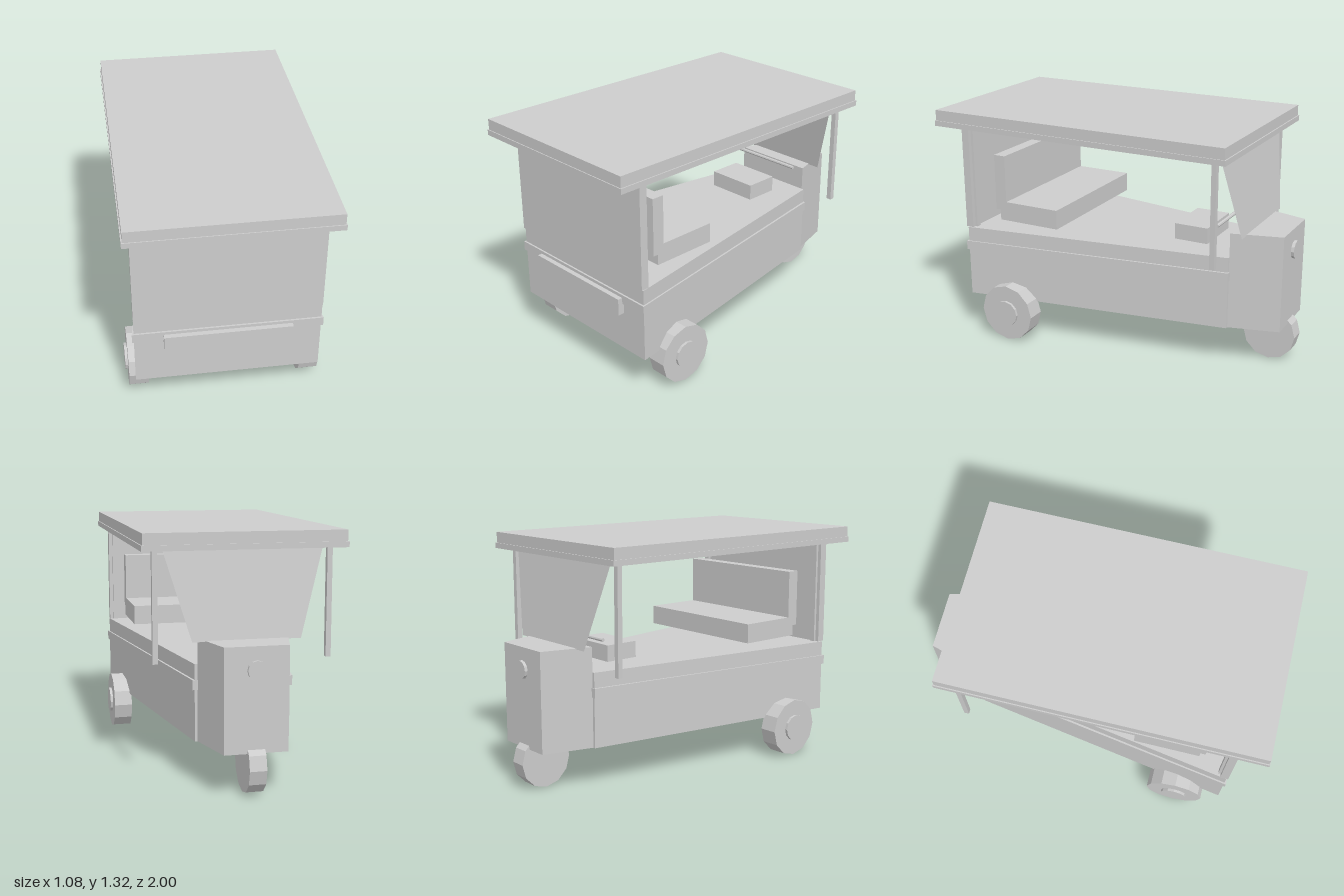
import * as THREE from 'three';

export function createModel() {
  const model = new THREE.Group();
  const grey = new THREE.MeshStandardMaterial({ color: 0xcccccc, flatShading: true });
  grey.name = 'plainGrey';
  const sheet = grey.clone();
  sheet.side = THREE.DoubleSide;

  const add = (name, geometry, material = grey) => {
    const mesh = new THREE.Mesh(geometry, material);
    mesh.name = name;
    model.add(mesh);
    return mesh;
  };

  // Box given by its limits on each axis
  const box = (name, x0, x1, y0, y1, z0, z1) =>
    add(name, new THREE.BoxGeometry(x1 - x0, y1 - y0, z1 - z0))
      .position.set((x0 + x1) / 2, (y0 + y1) / 2, (z0 + z1) / 2);

  // Upright prism with a trapezoid plan: half widths wA at zA and wB at zB
  const taper = (name, wA, zA, wB, zB, y0, y1) => {
    const plan = new THREE.Shape([
      new THREE.Vector2(-wA, -zA), new THREE.Vector2(wA, -zA),
      new THREE.Vector2(wB, -zB), new THREE.Vector2(-wB, -zB),
    ]);
    const g = new THREE.ExtrudeGeometry(plan, { depth: y1 - y0, bevelEnabled: false });
    g.rotateX(-Math.PI / 2);
    g.translate(0, y0, 0);
    add(name, g);
  };

  // Twelve-sided disc on the x axis
  const disc = (name, r, x0, x1, y, z) => {
    const g = new THREE.CylinderGeometry(r, r, x1 - x0, 12);
    g.rotateZ(Math.PI / 2);
    add(name, g).position.set((x0 + x1) / 2, y, z);
  };

  // Tapered body, trim band and nose
  taper('body', 0.495, 0.84, 0.255, -0.68, 0.23, 0.64);
  taper('trimBand', 0.505, 0.85, 0.267, -0.685, 0.505, 0.557);
  taper('nose', 0.24, -0.68, 0.167, -0.955, 0.23, 0.775);
  box('bumper', -0.34, 0.34, 0.447, 0.54, 0.83, 0.877);

  // Headlamp
  const lamp = new THREE.CylinderGeometry(0.05, 0.05, 0.03, 12);
  lamp.rotateX(Math.PI / 2);
  add('headlamp', lamp).position.set(0, 0.655, -0.957);

  // Roof with a lip around its lower edge
  box('roofLip', -0.538, 0.538, 1.23, 1.26, -0.765, 1);
  box('roof', -0.532, 0.532, 1.26, 1.32, -0.758, 0.995);

  // Closed panel and roof posts
  box('endPanel', -0.495, 0.495, 0.645, 1.23, 0.805, 0.85);
  for (const s of [-1, 1]) {
    const x = s * 0.46;
    box('panelPost', x - 0.014, x + 0.014, 0.645, 1.23, 0.79, 0.82);
    box('nosePost', x - 0.014, x + 0.014, 0.65, 1.23, -0.692, -0.664);
  }

  // Sloping windscreen, narrower at the bottom
  const screen = new THREE.PlaneGeometry(1, 1);
  const p = screen.attributes.position;
  for (let i = 0; i < p.count; i++) {
    const top = p.getY(i) > 0;
    p.setXYZ(i, Math.sign(p.getX(i)) * (top ? 0.42 : 0.285), top ? 1.23 : 0.77, top ? -0.69 : -0.765);
  }
  screen.computeVertexNormals();
  add('windscreen', screen, sheet);

  // Seats
  box('benchCushion', -0.415, 0.415, 0.69, 0.8, 0.29, 0.665);
  box('benchBack', -0.415, 0.415, 0.75, 1.07, 0.625, 0.695);
  box('driverSeat', -0.15, 0.15, 0.655, 0.745, -0.51, -0.315);

  // Handlebar
  const bar = new THREE.CylinderGeometry(0.01, 0.01, 0.46, 8);
  bar.rotateZ(Math.PI / 2);
  add('handlebar', bar).position.set(0, 0.8, -0.6);

  // Wheels
  disc('noseWheel', 0.15, -0.045, 0.045, 0.15, -0.85);
  for (const s of [-1, 1]) {
    const span = (a, b) => (s > 0 ? [a, b] : [-b, -a]);
    disc('sideWheel', 0.165, ...span(0.42, 0.525), 0.165, 0.577);
    disc('hub', 0.075, ...span(0.5, 0.54), 0.165, 0.577);
  }

  return model;
}
